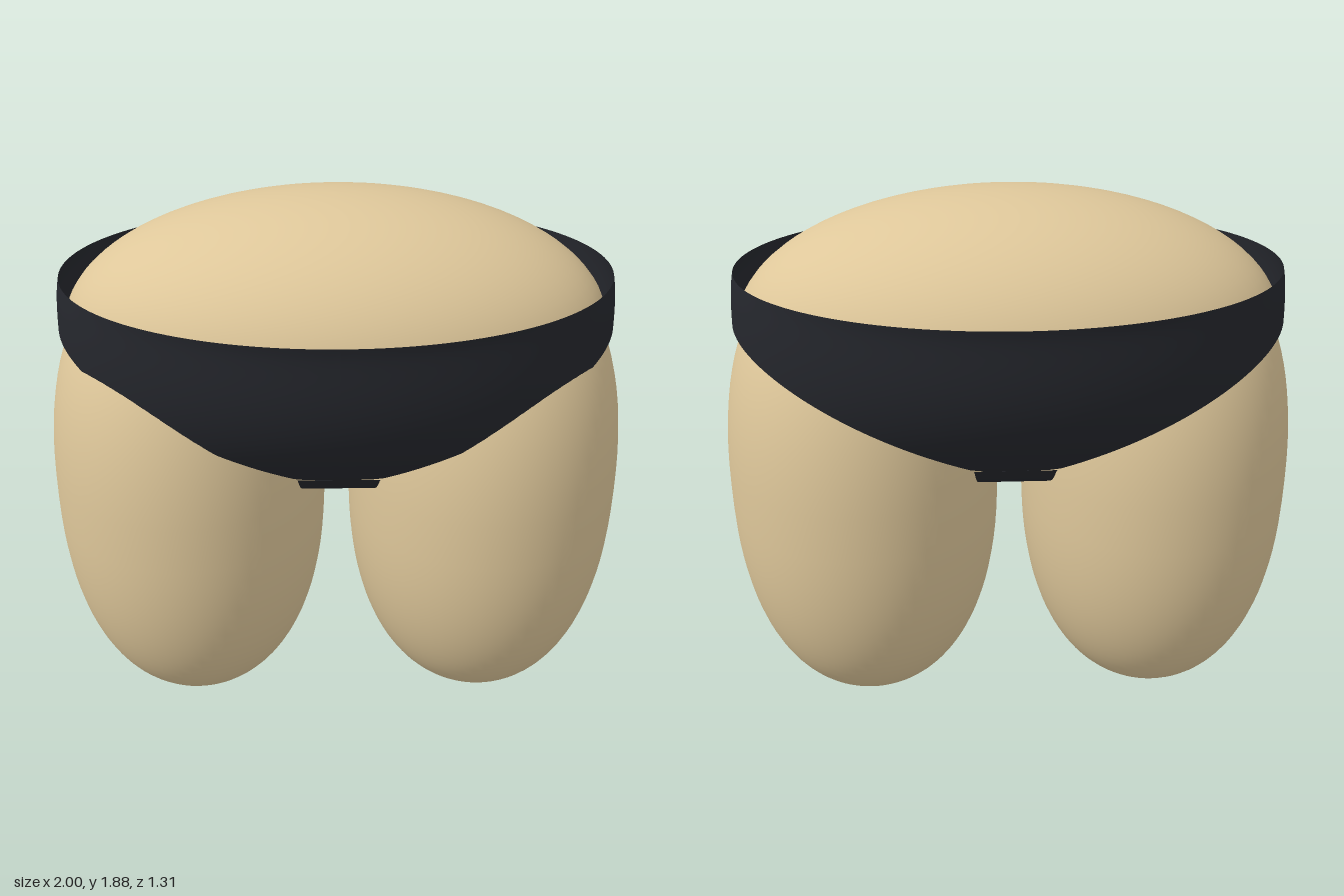
import * as THREE from 'three';

const skin = new THREE.MeshStandardMaterial({ color: 0xdec79a });
const cloth = new THREE.MeshStandardMaterial({ color: 0x25272d, side: THREE.DoubleSide });

// Rounded solid: a superellipse profile turned about y, then stretched
function ovoid(name, rx, ry, rz, power, x, y, z) {
  const profile = [];
  for (let i = 0; i <= 48; i++) {
    const t = (i / 48 - 0.5) * Math.PI;
    const r = Math.pow(Math.max(Math.cos(t), 0), 2 / power);
    const h = Math.sign(t) * Math.pow(Math.abs(Math.sin(t)), 2 / power);
    profile.push(new THREE.Vector2(i % 48 ? r : 0, h));
  }
  const geo = new THREE.LatheGeometry(profile, 64);
  geo.scale(rx, ry, rz);
  const mesh = new THREE.Mesh(geo, skin);
  mesh.name = name;
  mesh.position.set(x, y, z);
  return mesh;
}

// Smooth sheet from a function point(u, v) with u and v in 0..1
function sheet(name, nu, nv, point) {
  const pos = [], index = [];
  for (let j = 0; j <= nv; j++)
    for (let i = 0; i <= nu; i++) pos.push(...point(i / nu, j / nv));
  for (let j = 0; j < nv; j++)
    for (let i = 0; i < nu; i++) {
      const a = j * (nu + 1) + i, b = a + 1, c = a + nu + 1, d = c + 1;
      index.push(a, c, b, b, c, d);
    }
  const geo = new THREE.BufferGeometry();
  geo.setAttribute('position', new THREE.Float32BufferAttribute(pos, 3));
  geo.setIndex(index);
  geo.computeVertexNormals();
  const mesh = new THREE.Mesh(geo, cloth);
  mesh.name = name;
  return mesh;
}

const RIM = 1.63;

// Half width and half depth of the briefs at a given height
const halfWidth = y => 0.94 - 0.02 * Math.exp(-(RIM - y) / 0.08);
const halfDepth = y => 0.64 + 0.015 * Math.exp(-(RIM - y) / 0.04) - 0.887 * Math.pow(RIM - y, 2.65);

// Height of the leg opening's edge, by distance from the centre line
const legEdge = x => 1.07 + 0.38 * Math.max(0, (x - 0.135) / 0.805);

export function createModel() {
  const group = new THREE.Group();

  // Body
  group.add(ovoid('hips', 0.92, 0.45, 0.555, 2, 0, 1.435, -0.015));
  group.add(ovoid('leftThigh', 0.478, 0.85, 0.525, 2.35, 0.522, 0.85, 0.015));
  group.add(ovoid('rightThigh', 0.478, 0.85, 0.525, 2.35, -0.522, 0.85, 0.015));

  // Briefs: a band from the waist down to the leg openings
  const briefs = new THREE.Group();
  briefs.name = 'briefs';
  briefs.add(sheet('waistPanel', 160, 24, (u, v) => {
    const t = u * Math.PI * 2;
    const y = THREE.MathUtils.lerp(RIM, legEdge(0.94 * Math.abs(Math.sin(t))), v);
    return [halfWidth(y) * Math.sin(t), y, halfDepth(y) * Math.cos(t)];
  }));

  // Gusset: a strip passing between the thighs; x holds its half width
  const end = halfDepth(1.07);
  const path = new THREE.CatmullRomCurve3([
    [0.135, 1.07, end], [0.12, 0.985, 0.36], [0.07, 0.935, 0.2], [0.045, 0.922, 0],
    [0.07, 0.935, -0.2], [0.12, 0.985, -0.36], [0.135, 1.07, -end],
  ].map(p => new THREE.Vector3(...p)));
  briefs.add(sheet('gusset', 8, 40, (u, v) => {
    const p = path.getPoint(v);
    return [(u * 2 - 1) * p.x, p.y, p.z];
  }));
  group.add(briefs);

  return group;
}
